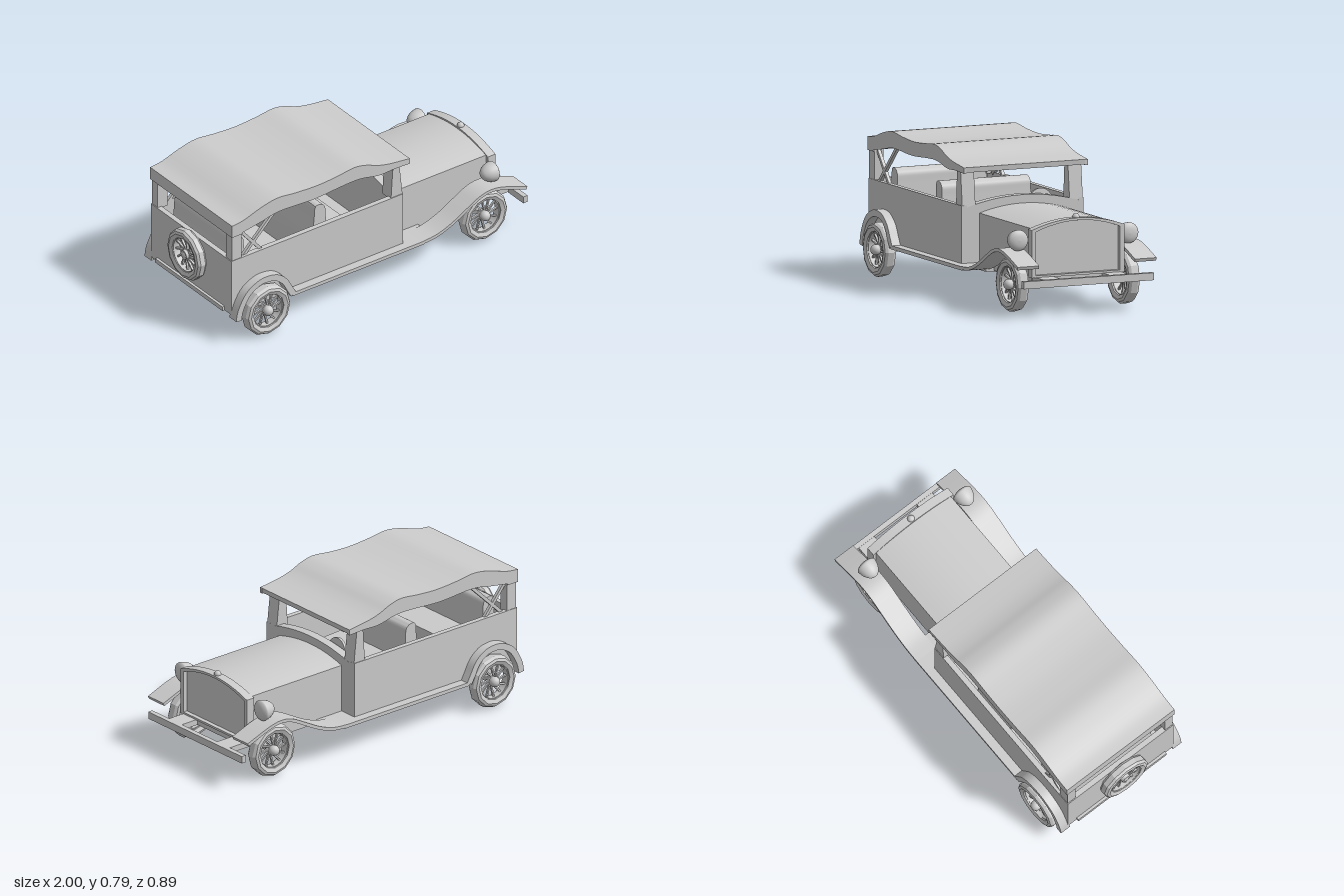
import * as THREE from 'three';
import { toCreasedNormals } from 'three/addons/utils/BufferGeometryUtils.js';

const grey = new THREE.MeshStandardMaterial({ color: 0xcccccc, side: THREE.DoubleSide });
const V2 = (p) => new THREE.Vector2(p[0], p[1]);
const spline = (pts, n) => new THREE.SplineCurve(pts.map(V2)).getPoints(n);

export function createModel() {
  const car = new THREE.Group();
  car.name = 'touringCar';

  const add = (name, geo, parent = car) => {
    const mesh = new THREE.Mesh(geo, grey);
    mesh.name = name;
    parent.add(mesh);
    return mesh;
  };
  // box given by its extents
  const box = (name, x0, x1, y0, y1, z0, z1) => {
    const g = new THREE.BoxGeometry(x1 - x0, y1 - y0, z1 - z0);
    return add(name, g.translate((x0 + x1) / 2, (y0 + y1) / 2, (z0 + z1) / 2));
  };
  const extrude = (shape, depth) =>
    new THREE.ExtrudeGeometry(shape, { depth, bevelEnabled: false, curveSegments: 12 });
  // side outline (x, y) extruded from z0 to z1
  const sidePanel = (name, pts, z0, z1) =>
    add(name, toCreasedNormals(extrude(new THREE.Shape(pts), z1 - z0).translate(0, 0, z0), 0.5));
  // cross-section (z, y) extruded from x0 to x1
  const section = (name, shape, x0, x1) =>
    add(name, toCreasedNormals(extrude(shape, x1 - x0).rotateY(Math.PI / 2).translate(x0, 0, 0), 0.5));
  // closed band of thickness t under a curve
  const band = (curve, t) => {
    const under = curve.map((p, i) => {
      const a = curve[Math.max(i - 1, 0)], b = curve[Math.min(i + 1, curve.length - 1)];
      const d = b.clone().sub(a).normalize();
      return new THREE.Vector2(p.x + d.y * t, p.y - d.x * t);
    });
    return [...curve, ...under.reverse()];
  };
  // arched panel: straight sides, curved top
  const arch = (w, y0, ySide, yTop, Type = THREE.Shape) => {
    const s = new Type();
    s.moveTo(-w, y0);
    s.lineTo(w, y0);
    s.lineTo(w, ySide);
    s.quadraticCurveTo(0, 2 * yTop - ySide, -w, ySide);
    s.closePath();
    return s;
  };
  const mirror = (fn) => [1, -1].forEach(fn);
  const span = (s, a, b) => (s > 0 ? [a, b] : [-b, -a]);

  // chassis, floor and bumper
  box('floor', -0.955, 0.37, 0.175, 0.2, -0.3, 0.3);
  box('frontChassis', 0.19, 0.86, 0.175, 0.205, -0.25, 0.25);
  box('frontBumper', 0.972, 1, 0.17, 0.21, -0.384, 0.384);
  mirror((s) => box('frameRail', 0.8, 0.975, 0.175, 0.207, ...span(s, 0.145, 0.25)));

  // open body tub
  box('backPanel', -0.94, -0.91, 0.175, 0.51, -0.36, 0.36);
  box('bodyFloor', -0.93, 0.19, 0.185, 0.21, -0.36, 0.36);
  mirror((s) => box('bodySide', -0.94, 0.195, 0.18, 0.51, ...span(s, 0.33, 0.36)));
  section('cowl', arch(0.358, 0.18, 0.49, 0.548), 0.145, 0.195);

  // bonnet and radiator
  section('bonnet', arch(0.255, 0.18, 0.465, 0.503), 0.19, 0.83);
  const shell = arch(0.273, 0.205, 0.462, 0.513);
  shell.holes.push(arch(0.248, 0.217, 0.452, 0.5, THREE.Path));
  section('radiatorShell', shell, 0.82, 0.87);
  section('radiatorCore', arch(0.25, 0.21, 0.454, 0.502), 0.82, 0.845);
  add('radiatorCap', new THREE.SphereGeometry(0.02, 14, 10)).position.set(0.842, 0.514, 0);

  // folding roof: wavy top, hanging sides and rear valance
  const roofTop = spline([[-0.94, 0.735], [-0.86, 0.745], [-0.75, 0.78], [-0.64, 0.8], [-0.52, 0.788],
    [-0.38, 0.78], [-0.25, 0.787], [-0.13, 0.8], [-0.05, 0.785], [0.02, 0.757], [0.1, 0.737], [0.235, 0.72]], 44);
  const roofHem = spline([[-0.87, 0.67], [-0.75, 0.69], [-0.62, 0.712], [-0.4, 0.702],
    [-0.2, 0.714], [-0.09, 0.714], [0.03, 0.69], [0.13, 0.692], [0.235, 0.688]], 36);
  sidePanel('roof', band(roofTop, 0.028), -0.366, 0.366);
  mirror((s) => sidePanel('roofSide',
    [...roofTop, ...roofHem.slice().reverse(), V2([-0.87, 0.662]), V2([-0.94, 0.662])], ...span(s, 0.35, 0.366)));
  box('rearValance', -0.94, -0.922, 0.662, 0.735, -0.366, 0.366);

  // posts and folding struts
  const strut = (a, b, z) => {
    const p = new THREE.Vector3(...a, z), q = new THREE.Vector3(...b, z);
    const m = add('roofStrut', new THREE.BoxGeometry(0.018, p.distanceTo(q), 0.018));
    m.position.copy(p).lerp(q, 0.5);
    m.rotation.z = -Math.atan2(b[0] - a[0], b[1] - a[1]);
  };
  mirror((s) => {
    const post = [[0.118, 0.5], [0.195, 0.5], [0.172, 0.71], [0.132, 0.71]].map(V2);
    sidePanel('windscreenPost', post, ...span(s, 0.278, 0.356));
    box('rearPost', -0.935, -0.87, 0.5, 0.7, ...span(s, 0.305, 0.357));
    strut([-0.85, 0.5], [-0.63, 0.715], s * 0.335);
    strut([-0.72, 0.49], [-0.87, 0.67], s * 0.335);
  });

  // seats with rounded backrests
  const seatOutline = spline([[0, 0.37], [0.015, 0.5], [0.022, 0.565], [0.055, 0.573], [0.085, 0.55], [0.09, 0.5], [0.1, 0.37]], 20);
  [-0.875, -0.335].forEach((x) => {
    const pts = seatOutline.map((p) => new THREE.Vector2(p.x + x, p.y));
    sidePanel('seatBack', [V2([x, 0.2]), ...pts, V2([x + 0.28, 0.36]), V2([x + 0.28, 0.2])], -0.262, 0.262);
  });

  // steering wheel and column
  const steering = new THREE.Group();
  steering.name = 'steeringWheel';
  steering.position.set(0.125, 0.497, -0.14);
  steering.rotation.z = -Math.PI / 2 + 0.12;
  add('steeringDisc', new THREE.CylinderGeometry(0.068, 0.068, 0.016, 24), steering);
  add('steeringColumn', new THREE.CylinderGeometry(0.01, 0.01, 0.04, 8).translate(0, 0.02, 0), steering);
  car.add(steering);

  // fenders and running boards
  const rearArch = spline([[-0.945, 0.158], [-0.93, 0.225], [-0.88, 0.31], [-0.81, 0.355], [-0.745, 0.367],
    [-0.67, 0.352], [-0.61, 0.305], [-0.575, 0.245], [-0.55, 0.2]], 32);
  const frontSweep = [...spline([[0.28, 0.2], [0.38, 0.21], [0.48, 0.245], [0.58, 0.298], [0.67, 0.343],
    [0.75, 0.356], [0.84, 0.338], [0.98, 0.287]], 32)];
  mirror((s) => {
    sidePanel('rearFender', band(rearArch, 0.036), ...span(s, 0.35, 0.41));
    sidePanel('frontFender', band(frontSweep, 0.018), ...span(s, 0.283, 0.41));
    box('runningBoard', -0.57, 0.3, 0.18, 0.2, ...span(s, 0.283, 0.41));
  });

  // headlamps: pointed back, shallow domed lens
  const lampProfile = spline([[0, -0.052], [0.025, -0.042], [0.046, -0.015], [0.056, 0.02], [0.053, 0.034], [0.03, 0.046], [0, 0.05]], 18)
    .map((p) => new THREE.Vector2(Math.max(p.x, 0), p.y));
  mirror((s) => {
    const lamp = new THREE.LatheGeometry(lampProfile, 24).rotateZ(-Math.PI / 2);
    add('headlamp', lamp).position.set(0.786, 0.404, s * 0.326);
  });

  // twelve-sided tyre, rim, spokes and hub; outer face towards +z
  const ring = (pts, n) => {
    const g = new THREE.LatheGeometry([...pts, pts[0]].map(V2), n).rotateX(Math.PI / 2);
    return toCreasedNormals(g, 0.3);
  };
  const wheel = (name, halfWidth, hubZ) => {
    const w = new THREE.Group(), h = halfWidth;
    w.name = name;
    add('tyre', ring([[0.1, -h * 0.75], [0.122, -h], [0.137, -h * 0.85], [0.147, -h * 0.45],
      [0.147, h * 0.45], [0.137, h * 0.85], [0.122, h], [0.1, h * 0.75]], 12), w);
    add('rim', ring([[0.094, -0.02], [0.104, -0.02], [0.104, 0.02], [0.094, 0.02]], 24), w);
    for (let i = 0; i < 12; i++) {
      const spoke = add('spoke', new THREE.BoxGeometry(0.009, 0.08, 0.012).rotateZ(0.25).translate(0, 0.062, 0), w);
      spoke.rotation.z = (i * Math.PI) / 6;
    }
    add('hubBarrel', new THREE.CylinderGeometry(0.026, 0.026, 0.045, 14).rotateX(Math.PI / 2), w);
    add('hubCap', new THREE.SphereGeometry(0.029, 16, 10).translate(0, 0, hubZ), w);
    car.add(w);
    return w;
  };
  mirror((s) => {
    [['frontWheel', 0.745, 0.328, 0.161], ['rearWheel', -0.737, 0.393, 0.155]].forEach(([name, x, z, y]) => {
      const w = wheel(name, 0.0375, 0.022);
      w.position.set(x, y, s * z);
      if (s < 0) w.rotation.y = Math.PI;
      const stub = new THREE.CylinderGeometry(0.018, 0.018, 0.1, 10).rotateX(Math.PI / 2);
      add('axleStub', stub.translate(0, 0, -0.055), w);
    });
  });
  const spare = wheel('spareWheel', 0.033, 0);
  spare.position.set(-0.967, 0.387, 0);
  spare.rotation.y = -Math.PI / 2;

  return car;
}
